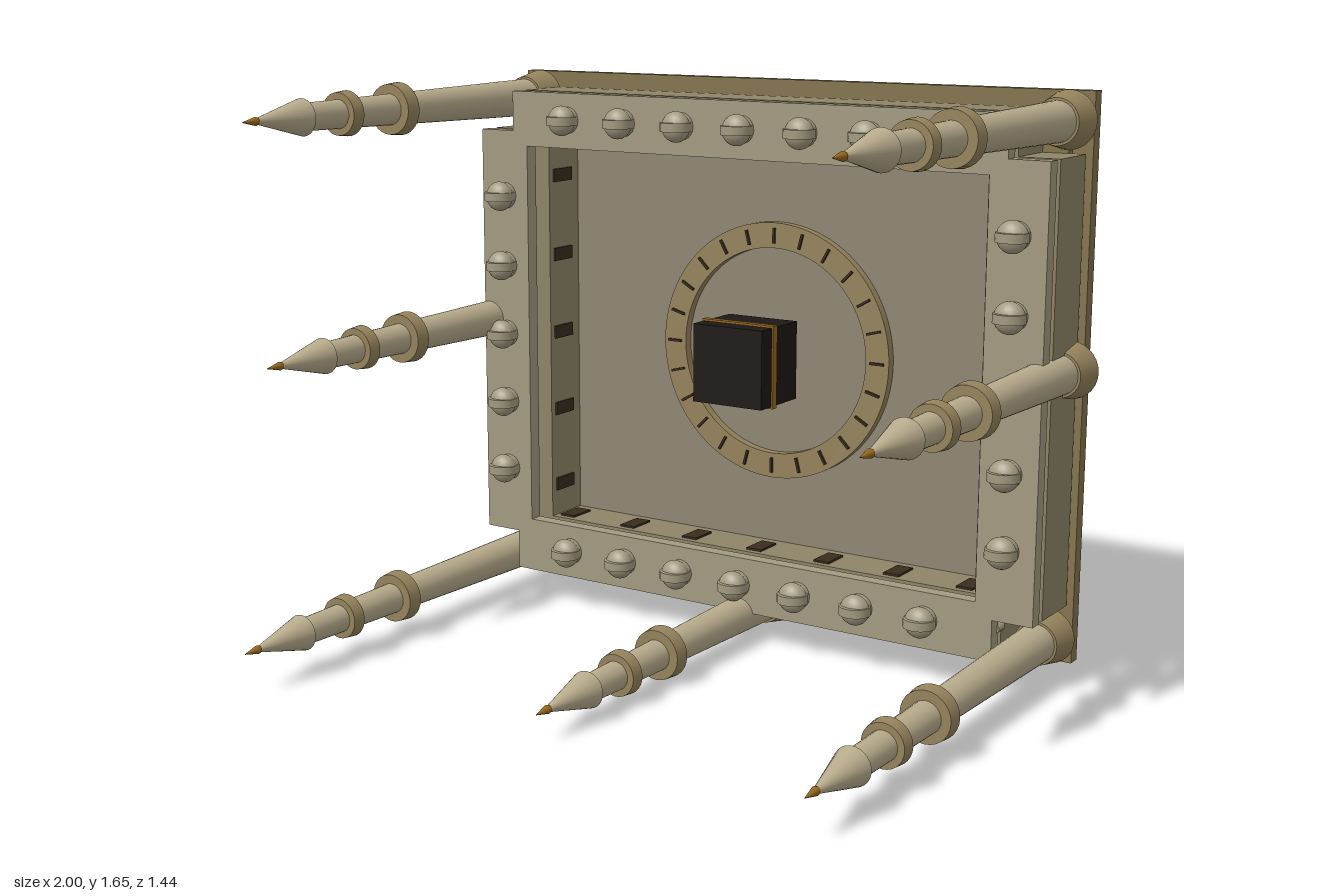
import * as THREE from 'three';

const mat = (color, side = THREE.FrontSide) => new THREE.MeshStandardMaterial({ color, side });
const M = {
  back: mat(0x85754f), body: mat(0x8f8467), plate: mat(0xa39a80), floor: mat(0x8f8674),
  shaft: mat(0xb8ab8c), collar: mat(0x95835c), dark: mat(0x1c1815), slot: mat(0x3a2c1e), gold: mat(0x96681f),
};

function add(parent, name, geo, material, x = 0, y = 0, z = 0) {
  const mesh = new THREE.Mesh(geo, material);
  mesh.name = name;
  mesh.position.set(x, y, z);
  parent.add(mesh);
  return mesh;
}

// Box given by its extents
function slab(parent, name, material, x0, x1, y0, y1, z0, z1) {
  return add(parent, name, new THREE.BoxGeometry(x1 - x0, y1 - y0, z1 - z0), material,
    (x0 + x1) / 2, (y0 + y1) / 2, (z0 + z1) / 2);
}

// Rectangular frame with notched corners and a rectangular opening
function frame(parent, name, material, hw, holeHw, z0, z1) {
  const y0 = 0.095, y1 = 1.6, n = 0.12;
  const s = new THREE.Shape([
    [-hw + n, y0], [hw - n, y0], [hw - n, y0 + n], [hw, y0 + n], [hw, y1 - n], [hw - n, y1 - n],
    [hw - n, y1], [-hw + n, y1], [-hw + n, y1 - n], [-hw, y1 - n], [-hw, y0 + n], [-hw + n, y0 + n],
  ].map(([x, y]) => new THREE.Vector2(x, y)));
  s.holes.push(new THREE.Path([
    [-holeHw, 0.26], [-holeHw, 1.435], [holeHw, 1.435], [holeHw, 0.26],
  ].map(([x, y]) => new THREE.Vector2(x, y))));
  add(parent, name, new THREE.ExtrudeGeometry(s, { depth: z1 - z0, bevelEnabled: false }), material, 0, 0, z0);
}

// Pointed spike running forward from the back plate; built along y, then turned to +z
function spike(parent, x, y, tipZ) {
  const base = -0.665, len = tipZ - base, shaftLen = len - 0.225;
  const g = new THREE.Group();
  g.name = 'spike';
  const part = (name, m, r0, r1, a, b) =>
    add(g, name, new THREE.CylinderGeometry(r1, r0, b - a, 28), m, 0, (a + b) / 2, 0);
  part('spikeBase', M.collar, 0.081, 0.064, 0, 0.085);
  part('spikeShaft', M.shaft, 0.057, 0.038, 0.08, shaftLen + 0.01);
  part('largeCollar', M.collar, 0.076, 0.072, shaftLen * 0.648 - 0.022, shaftLen * 0.648 + 0.022);
  part('smallCollar', M.collar, 0.064, 0.06, shaftLen * 0.85 - 0.019, shaftLen * 0.85 + 0.019);
  part('spikeHead', M.shaft, 0.052, 0.008, shaftLen, len - 0.05);
  part('tipFlare', M.gold, 0.006, 0.012, len - 0.065, len - 0.048);
  part('spikeTip', M.gold, 0.012, 0.001, len - 0.048, len);
  g.rotation.x = Math.PI / 2;
  g.position.set(x, y, base);
  parent.add(g);
}

// Domed stud with a horizontal ridge
function stud(parent, x, y) {
  const g = new THREE.Group();
  g.name = 'stud';
  const neck = add(g, 'studNeck', new THREE.CylinderGeometry(0.04, 0.04, 0.04, 20), M.plate, 0, 0, -0.02);
  neck.rotation.x = Math.PI / 2;
  add(g, 'studDome', new THREE.SphereGeometry(0.045, 20, 14), M.plate).scale.z = 0.75;
  add(g, 'studRidge', new THREE.CylinderGeometry(0.046, 0.046, 0.026, 24), M.plate);
  g.position.set(x, y, -0.402);
  parent.add(g);
}

export function createModel() {
  const root = new THREE.Group();
  root.name = 'spikedPanel';

  // Back plate, body and floating front frame
  slab(root, 'backPlate', M.back, -0.95, 0.95, 0.043, 1.648, -0.725, -0.685);
  slab(root, 'backLayer', M.back, -0.89, 0.89, 0.15, 1.54, -0.69, -0.66);
  frame(root, 'bodyFrame', M.body, 0.935, 0.733, -0.67, -0.5);
  slab(root, 'recessFloor', M.floor, -0.75, 0.75, 0.25, 1.45, -0.668, -0.65);
  frame(root, 'frontFrame', M.plate, 0.937, 0.765, -0.475, -0.432);

  // Spacers between body and front frame
  const spacer = (x, y) => {
    const m = add(root, 'spacer', new THREE.CylinderGeometry(0.014, 0.014, 0.04, 10), M.plate, x, y, -0.488);
    m.rotation.x = Math.PI / 2;
  };
  for (let i = -5; i <= 5; i++) for (const y of [0.18, 1.52]) spacer(i * 0.162, y);

  // Studs around the front frame, dark slots on the recess walls
  for (let i = -3; i <= 3; i++) {
    for (const y of [0.18, 1.52]) stud(root, i * 0.204, y);
    for (const y of [0.262, 1.433])
      slab(root, 'wallSlot', M.slot, i * 0.23 - 0.025, i * 0.23 + 0.025, y - 0.004, y + 0.004, -0.61, -0.52);
  }
  for (let i = -2; i <= 2; i++) {
    for (const s of [-1, 1]) {
      const y = 0.85 + i * 0.215, ys = 0.85 + i * 0.245;
      stud(root, s * 0.85, y);
      spacer(s * 0.85, y);
      slab(root, 'wallSlot', M.slot, s * 0.731 - 0.004, s * 0.731 + 0.004, ys - 0.02, ys + 0.02, -0.61, -0.52);
    }
  }

  // Dial ring with tick marks
  const ringShape = new THREE.Shape().absarc(0, 0, 0.385, 0, Math.PI * 2);
  ringShape.holes.push(new THREE.Path().absarc(0, 0, 0.31, 0, Math.PI * 2, true));
  add(root, 'dialRing', new THREE.ExtrudeGeometry(ringShape, { depth: 0.03, bevelEnabled: false, curveSegments: 48 }),
    M.collar, 0, 0.85, -0.652);
  for (let i = 0; i < 24; i++) {
    const a = (i / 24) * Math.PI * 2;
    const tick = add(root, 'dialTick', new THREE.BoxGeometry(0.045, 0.007, 0.012), M.slot,
      0.347 * Math.cos(a), 0.85 + 0.347 * Math.sin(a), -0.62);
    tick.rotation.z = a;
  }

  // Central dark block with gold band and a stem to the floor
  slab(root, 'centralBlock', M.dark, -0.115, 0.115, 0.732, 0.962, -0.56, -0.362);
  slab(root, 'blockBand', M.gold, -0.12, 0.12, 0.726, 0.968, -0.44, -0.418);
  slab(root, 'blockStem', M.dark, -0.05, 0.05, 0.8, 0.9, -0.655, -0.55);

  // Spikes: corners, sides and bottom centre
  for (const s of [-1, 1]) {
    spike(root, s * 0.885, 1.57, 0.64);
    spike(root, s * 0.885, 0.12, 0.715);
    spike(root, s * 0.92, 0.89, 0.55);
  }
  spike(root, 0, 0.083, 0.56);

  return root;
}
